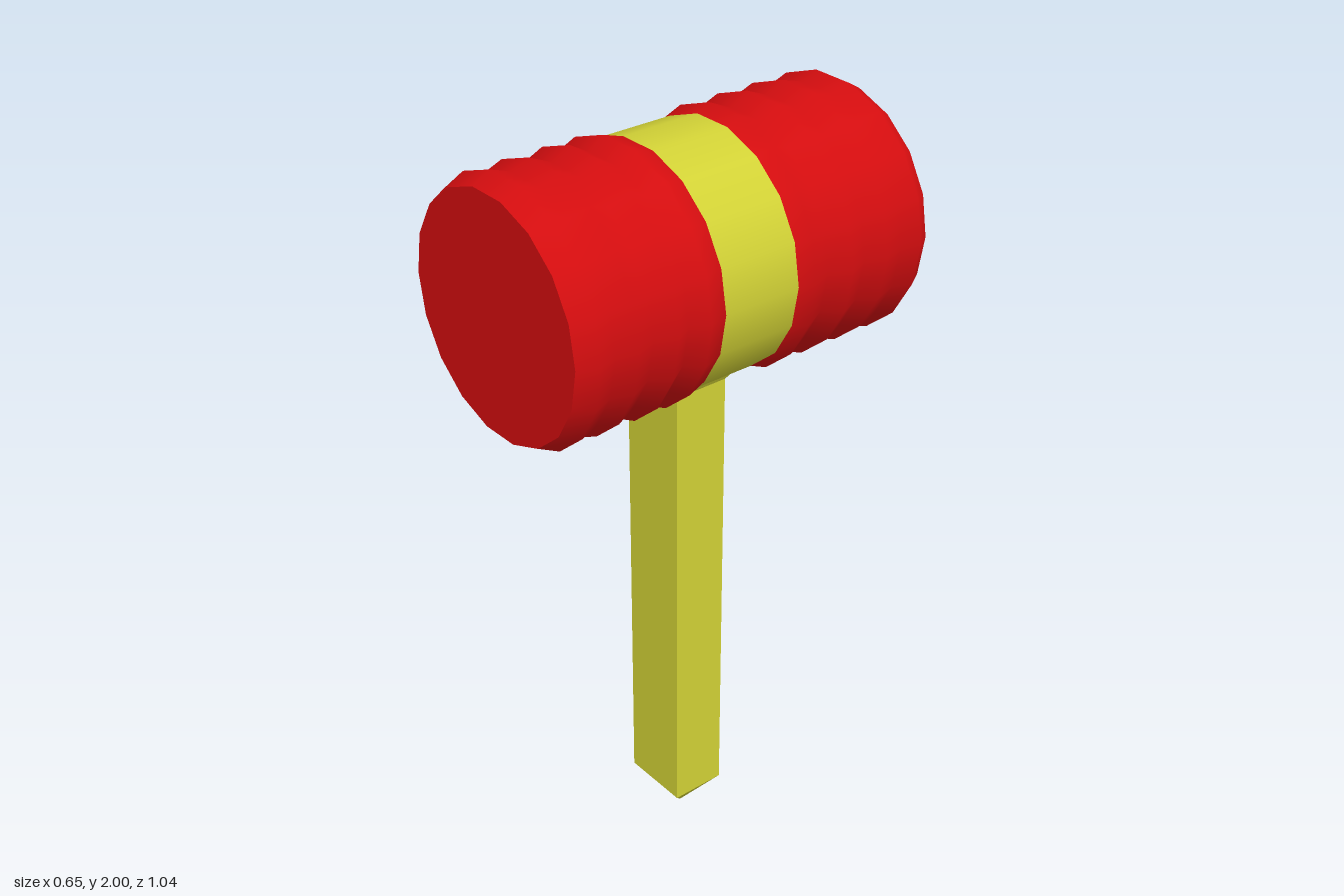
import * as THREE from 'three';

const SIDES = 18;
const HEAD_Y = 1.68;

const red = new THREE.MeshStandardMaterial({ color: 0xd40d0f });
red.name = 'red';
const yellow = new THREE.MeshStandardMaterial({ color: 0xd2d236 });
yellow.name = 'yellow';

function addMesh(parent, name, geometry, material) {
  const mesh = new THREE.Mesh(geometry, material);
  mesh.name = name;
  parent.add(mesh);
  return mesh;
}

// Barrel along z from [radius, z] pairs, ordered back to front
function barrel(profile) {
  const points = profile.map(([r, z]) => new THREE.Vector2(r, z));
  return new THREE.LatheGeometry(points, SIDES, Math.PI / 2).rotateX(Math.PI / 2);
}

// Square post whose cross-section changes at each [y, halfWidth, halfDepth] level
function post(levels) {
  const rows = levels.length - 1;
  const geometry = new THREE.BoxGeometry(2, rows, 2, 1, rows, 1).toNonIndexed();
  const p = geometry.attributes.position;
  for (let i = 0; i < p.count; i++) {
    const [y, w, d] = levels[Math.round(p.getY(i) + rows / 2)];
    p.setXYZ(i, p.getX(i) * w, y, p.getZ(i) * d);
  }
  geometry.computeVertexNormals();
  return geometry;
}

export function createModel() {
  const model = new THREE.Group();
  model.name = 'mallet';

  const head = new THREE.Group();
  head.name = 'head';
  head.position.y = HEAD_Y;
  model.add(head);

  // Ribbed striking ends
  addMesh(head, 'frontBarrel', barrel([
    [0.31, 0.11], [0.327, 0.165], [0.3, 0.21], [0.327, 0.257], [0.302, 0.31],
    [0.327, 0.367], [0.31, 0.42], [0.327, 0.47], [0.303, 0.52],
  ]), red);
  addMesh(head, 'backBarrel', barrel([
    [0.303, -0.52], [0.327, -0.48], [0.31, -0.43], [0.327, -0.37], [0.305, -0.315],
    [0.327, -0.26], [0.3, -0.205], [0.327, -0.145], [0.31, -0.106],
  ]), red);

  // Flat striking faces
  const frontFace = addMesh(head, 'frontFace', new THREE.CircleGeometry(0.303, SIDES), red);
  frontFace.position.z = 0.52;
  const backFace = addMesh(head, 'backFace', new THREE.CircleGeometry(0.303, SIDES), red);
  backFace.position.z = -0.52;
  backFace.rotation.y = Math.PI;

  // Middle band
  addMesh(head, 'band', barrel([[0.31, -0.106], [0.31, 0.11]]), yellow);

  // Handle with pointed foot and flared collar
  addMesh(model, 'handle', post([
    [0, 0.02, 0.003], [0.095, 0.095, 0.075], [1.36, 0.095, 0.075], [1.4, 0.12, 0.106],
  ]), yellow);

  return model;
}
